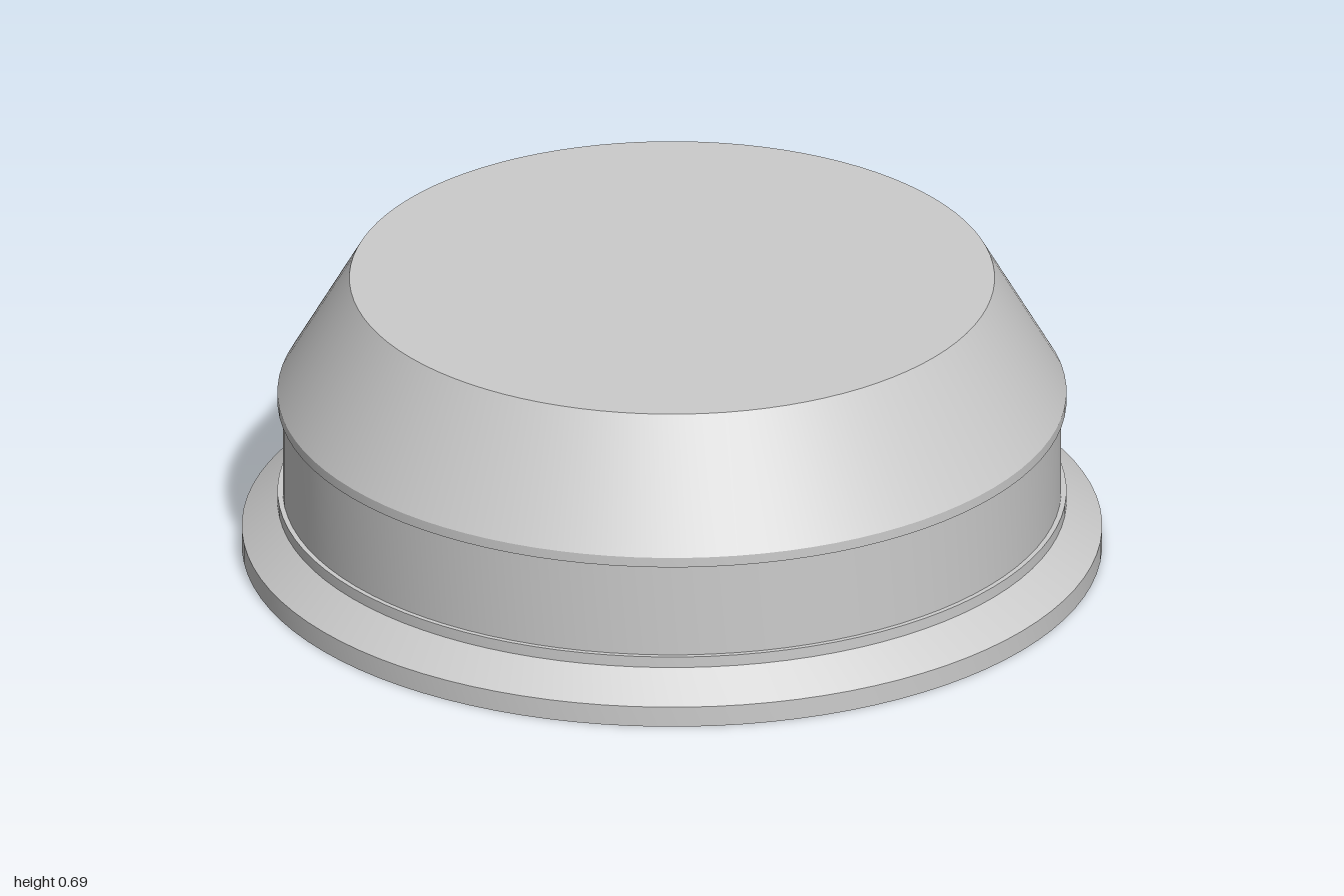
import * as THREE from 'three';
import { toCreasedNormals } from 'three/addons/utils/BufferGeometryUtils.js';

const SEGMENTS = 96;

// Revolves a [radius, height] profile, listed from bottom to top, with crisp edges.
function turned(name, profile, material) {
  const points = profile.map(([r, y]) => new THREE.Vector2(r, y));
  const geometry = toCreasedNormals(new THREE.LatheGeometry(points, SEGMENTS), 0.3);
  const mesh = new THREE.Mesh(geometry, material);
  mesh.name = name;
  return mesh;
}

export function createModel() {
  const group = new THREE.Group();
  group.name = 'roundCap';
  const material = new THREE.MeshStandardMaterial({ color: 0xcccccc });

  const neckRadius = 0.905;
  const lipRadius = 0.917;

  // Flat-bottomed flange with a sloped shoulder and a narrow lip
  group.add(turned('baseFlange', [
    [0, 0], [1, 0], [1, 0.05], [lipRadius, 0.113], [lipRadius, 0.14], [neckRadius, 0.14],
  ], material));

  // Straight recessed band
  group.add(turned('neckBand', [[neckRadius, 0.14], [neckRadius, 0.37]], material));

  // Overhanging lip, tapered side and flat top
  group.add(turned('taperedTop', [
    [neckRadius, 0.37], [lipRadius, 0.37], [lipRadius, 0.394], [0.75, 0.685], [0, 0.685],
  ], material));

  return group;
}
